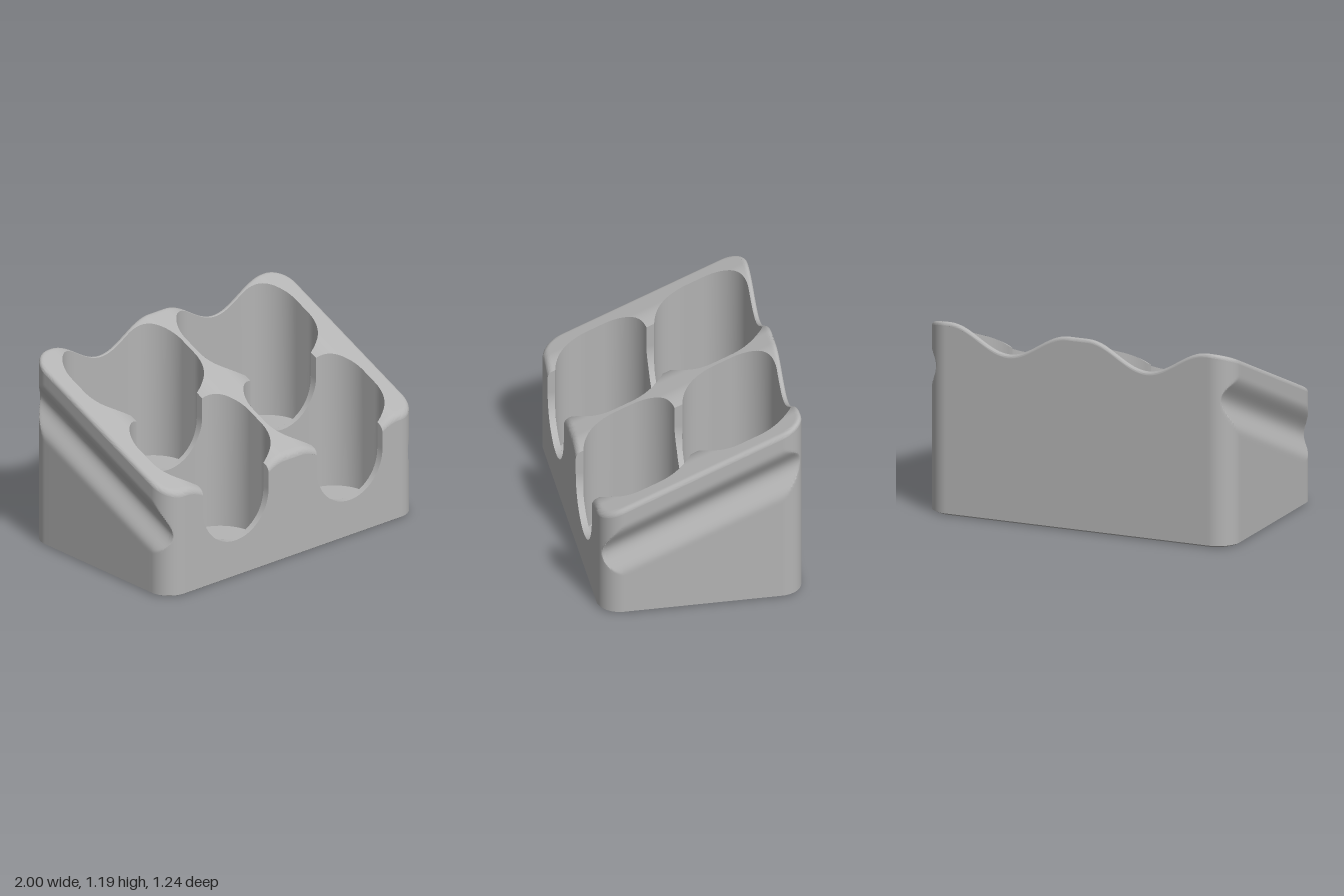
import * as THREE from 'three';
import { mergeGeometries, toCreasedNormals } from 'three/addons/utils/BufferGeometryUtils.js';

const W = 1, D = 0.62, R = 0.14;            // block half width, half depth, corner radius
const CX = 0.4525, HX = 0.4375, PR = 0.23;  // pocket centre, half width, corner radius
const SLOT = 0.26;                          // slot half width
const X0 = CX - HX, X1 = CX + HX, S0 = CX - SLOT, S1 = CX + SLOT;
const FILLET = 0.03;

const lerp = (a, b, t) => a + (b - a) * t;
const ease = t => (1 - Math.cos(Math.PI * t)) / 2;
const bump = t => (Math.abs(t) < 1 ? 0.5 + 0.5 * Math.cos(Math.PI * t) : 0);

// half depth of a rounded rectangle at distance dx from its centre
function halfDepth(dx, hx, hz, r) {
  const k = Math.min(r, Math.max(0, Math.abs(dx) - (hx - r)));
  return hz - r + Math.sqrt(Math.max(0, r * r - k * k));
}
const outer = x => halfDepth(x, W, D, R);

// distance from a point to the outer edge of the footprint
function edgeDistance(x, z) {
  const qx = Math.abs(x) - (W - R), qz = Math.abs(z) - (D - R);
  return Math.max(0, R - Math.hypot(Math.max(qx, 0), Math.max(qz, 0)) - Math.min(Math.max(qx, qz), 0));
}

// sloped top with a trough over each column of pockets and a filleted rim
function top(x, z) {
  const k = Math.max(0, FILLET - edgeDistance(x, z));
  const drop = FILLET - Math.sqrt(Math.max(0, FILLET * FILLET - k * k));
  return 0.939 - 0.428 * z - 0.155 * bump((x - CX) / 0.39) - drop;
}
const groove = (y, z) => 0.068 * bump((y - (0.655 - 0.43 * z)) / 0.175);

// grid surface from f(u, v) -> [x, y, z]
function patch(f, nu, nv, flip = false) {
  const pos = [], idx = [];
  for (let i = 0; i <= nu; i++) for (let j = 0; j <= nv; j++) pos.push(...f(i / nu, j / nv, j));
  for (let i = 0; i < nu; i++) for (let j = 0; j < nv; j++) {
    const a = i * (nv + 1) + j, b = a + nv + 1;
    if (flip) idx.push(a, a + 1, b, b, a + 1, b + 1);
    else idx.push(a, b, a + 1, b, b + 1, a + 1);
  }
  const g = new THREE.BufferGeometry();
  g.setAttribute('position', new THREE.Float32BufferAttribute(pos, 3));
  g.setIndex(idx);
  return g;
}

// roughly horizontal sheet between the curves za(x) and zb(x)
const sheet = (xa, xb, za, zb, yf, nu, nv, flip = true) => patch((u, v) => {
  const x = lerp(xa, xb, ease(u)), z = lerp(za(x), zb(x), ease(v));
  return [x, yf(x, z), z];
}, nu, nv, flip);

// upright wall following z = zf(x), from y0 up to yf
const wall = (xa, xb, zf, y0, yf, flip) => patch((u, v) => {
  const x = lerp(xa, xb, ease(u)), z = zf(x);
  return [x, lerp(y0, yf(x, z), v), z];
}, 28, 1, flip);

// upright wall in a plane of constant x
const sideWall = (x, za, zb, y0, flip) => patch((u, v) => {
  const z = lerp(za, zb, ease(u));
  return [x, lerp(y0, top(x, z), v), z];
}, 16, 1, flip);

export function createModel() {
  const grey = new THREE.MeshStandardMaterial({ color: 0xb4b4b4, side: THREE.DoubleSide });
  grey.name = 'grey plastic';
  const half = new THREE.Group();
  half.name = 'leftHalf';
  const add = (name, geos) => {
    const m = new THREE.Mesh(toCreasedNormals(mergeGeometries(geos), 0.5), grey);
    m.name = name;
    half.add(m);
  };

  // the two pockets of one column, stepped up toward the back
  const pocket = (zc, hz, floor, slotBottom) => ({
    lo: x => zc - halfDepth(x - CX, HX, hz, PR),
    hi: x => zc + halfDepth(x - CX, HX, hz, PR),
    floor,
    slotY: x => slotBottom + SLOT - Math.sqrt(Math.max(0, SLOT * SLOT - (x - CX) ** 2)),
    slotSide: slotBottom + SLOT,
  });
  const front = pocket(0.2975, 0.2825, 0.05, 0.24);
  const back = pocket(-0.305, 0.285, 0.31, 0.5);
  const rim = () => D, negOuter = x => -outer(x);

  // top surface around the pockets and slots
  const tops = [
    sheet(0, X0, negOuter, outer, top, 2, 60),
    sheet(X1, W, negOuter, outer, top, 20, 60),
    sheet(X0, X1, negOuter, back.lo, top, 60, 20),
  ];
  for (const [a, b] of [[X0, S0], [S1, X1]]) {
    tops.push(sheet(a, b, back.hi, front.lo, top, 24, 8));
    tops.push(sheet(a, b, front.hi, outer, top, 24, 20));
  }
  add('slopedTop', tops);

  // outline from the front slot around the corners to the back centre
  const path = [];
  for (let i = 0; i <= 6; i++) path.push([lerp(S1, W - R, i / 6), D]);
  for (let i = 1; i <= 24; i++) {
    const a = (i / 24) * Math.PI / 2;
    path.push([W - R + R * Math.sin(a), D - R + R * Math.cos(a)]);
  }
  for (let i = 1; i < 20; i++) path.push([W, lerp(D - R, R - D, i / 20)]);
  for (let i = 24; i >= 0; i--) {
    const a = (i / 24) * Math.PI / 2;
    path.push([W - R + R * Math.sin(a), R - D - R * Math.cos(a)]);
  }
  for (let i = 1; i <= 40; i++) path.push([lerp(W - R, 0, i / 40), -D]);

  // outer wall with a small bottom chamfer and a grip groove along the side
  const NV = 70;
  const skin = (pt, yf) => (u, v, j) => {
    const [x, z] = pt(u);
    if (j === 0) return [x * 0.98, 0, z * 0.97];
    const y = lerp(0.012, yf(x, z), (j - 1) / (NV - 1));
    return [Math.min(x, W - groove(y, z)), y, z];
  };
  const n = path.length - 1;
  add('outerWall', [
    patch(skin(u => path[Math.round(u * n)], top), n, NV),
    patch(skin(u => [lerp(0, S0, u), D], top), 12, NV),
    patch(skin(u => [lerp(S0, S1, ease(u)), D], x => front.slotY(x)), 40, NV),
  ]);

  // underside
  const base = sheet(0, W, negOuter, outer, () => 0, 40, 1, false);
  base.scale(0.98, 1, 0.97);
  add('base', [base]);

  // pocket walls, floors and the rounded slots that open them forward
  for (const [name, p, slotEnd, behind] of [['front', front, rim, back], ['back', back, front.lo, null]]) {
    const walls = [
      wall(X0, S0, p.hi, p.floor, top, true),
      wall(S1, X1, p.hi, p.floor, top, true),
      wall(S0, S1, p.hi, p.floor, p.slotY, true),
      wall(X0, S0, p.lo, p.floor, top, false),
      wall(S1, X1, p.lo, p.floor, top, false),
      wall(S0, S1, p.lo, p.floor, behind ? behind.slotY : top, false),
      sideWall(X0, p.lo(X0), p.hi(X0), p.floor, true),
      sideWall(X1, p.lo(X1), p.hi(X1), p.floor, false),
    ];
    add(name + 'PocketWall', walls);
    add(name + 'PocketFloor', [sheet(X0, X1, p.lo, p.hi, () => p.floor, 50, 1)]);
    add(name + 'Slot', [
      sheet(S0, S1, p.hi, slotEnd, x => p.slotY(x), 40, 1),
      sideWall(S0, p.hi(S0), slotEnd(S0), p.slotSide, true),
      sideWall(S1, p.hi(S1), slotEnd(S1), p.slotSide, false),
    ]);
  }

  // mirrored second half
  const other = half.clone();
  other.name = 'rightHalf';
  other.scale.x = -1;
  const model = new THREE.Group();
  model.name = 'steppedHolder';
  model.add(half, other);
  return model;
}
